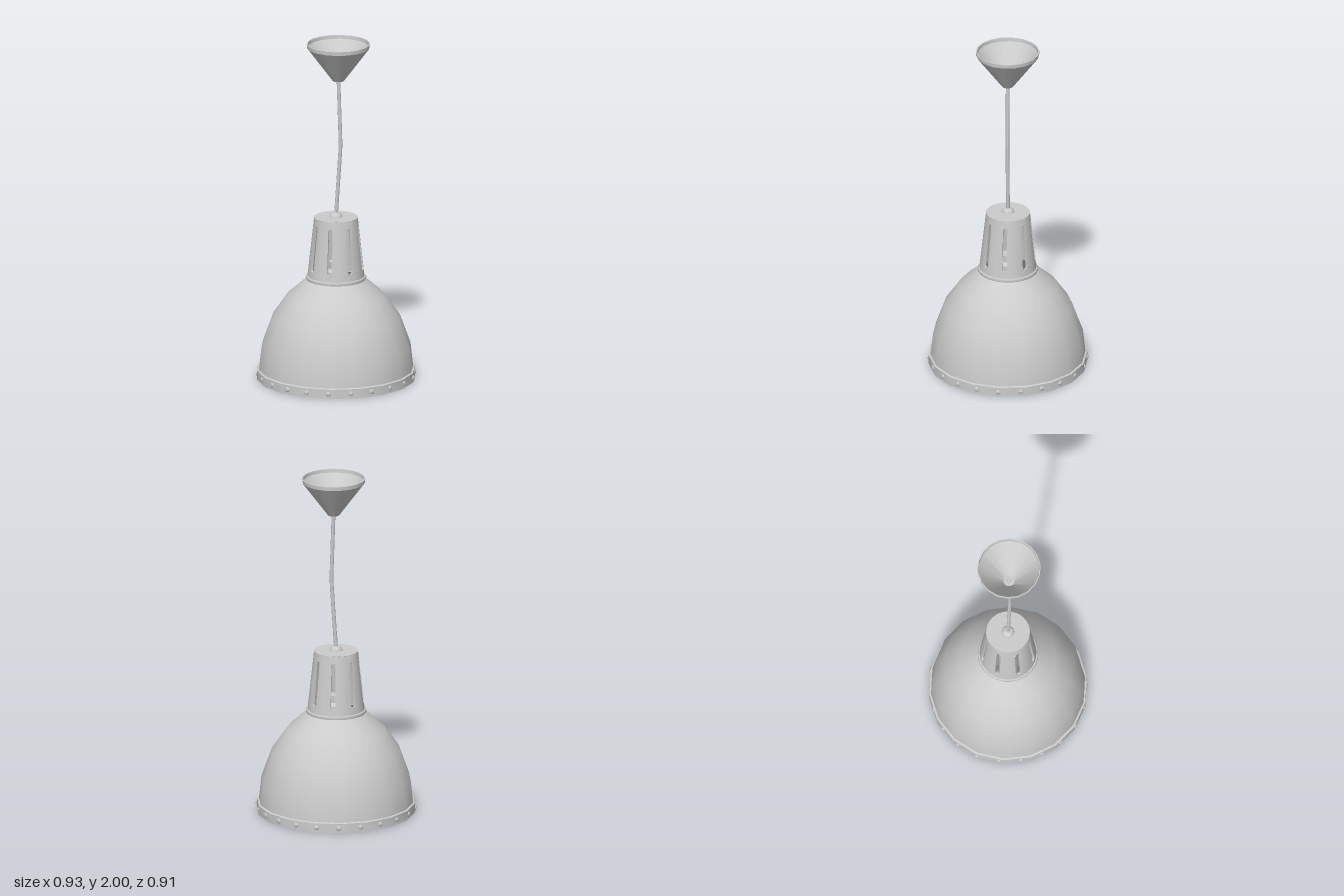
import * as THREE from 'three';
import { mergeGeometries, toCreasedNormals } from 'three/addons/utils/BufferGeometryUtils.js';

const SIDES = 18;
const material = new THREE.MeshStandardMaterial({ color: 0xcccccc, side: THREE.DoubleSide });

function part(name, geometry, parent) {
  const mesh = new THREE.Mesh(geometry, material);
  mesh.name = name;
  parent.add(mesh);
  return mesh;
}

// Turned part with a corner on +x; edges sharper than the crease angle stay sharp
function turned(profile, sides = SIDES, crease = 0.6) {
  const points = profile.map(([r, y]) => new THREE.Vector2(r, y));
  const lathe = new THREE.LatheGeometry(points, sides, Math.PI / 2);
  return toCreasedNormals(lathe.toNonIndexed(), crease);
}

// Tapered, slotted sleeve: flat strips in (angle, height) bent around the axis
function slottedSleeve() {
  const y0 = 0.6, y1 = 0.965, r0 = 0.166, r1 = 0.126, wall = 0.01;
  const strips = 24, half = Math.PI / strips;
  const pieces = [];
  for (let i = 0; i < strips; i++) {
    const shape = new THREE.Shape();
    shape.moveTo(-half, y0).lineTo(half, y0).lineTo(half, y1).lineTo(-half, y1).closePath();
    if (i % 3 === 0) {
      const slot = new THREE.Path();
      slot.absellipse(0, 0.91, 0.092, 0.014, 0, Math.PI, false);
      slot.absellipse(0, 0.67, 0.092, 0.014, Math.PI, 2 * Math.PI, false);
      slot.closePath();
      shape.holes.push(slot);
    }
    const geometry = new THREE.ExtrudeGeometry(shape, { depth: wall, bevelEnabled: false, curveSegments: 5 });
    const p = geometry.attributes.position;
    for (let k = 0; k < p.count; k++) {
      const angle = p.getX(k) + i * 2 * half, y = p.getY(k);
      const r = THREE.MathUtils.mapLinear(y, y0, y1, r0, r1) - wall + p.getZ(k);
      p.setXYZ(k, r * Math.sin(angle), y, r * Math.cos(angle));
    }
    pieces.push(geometry);
  }
  return toCreasedNormals(mergeGeometries(pieces), 0.6);
}

export function createModel() {
  const model = new THREE.Group();
  model.name = 'pendantLamp';

  // Shade and its lower band
  const lamp = new THREE.Group();
  lamp.name = 'lampHead';
  lamp.position.x = -0.002;
  model.add(lamp);
  part('shade', turned([
    [0.448, 0.03], [0.446, 0.06], [0.431, 0.2], [0.37, 0.37], [0.28, 0.5], [0.166, 0.6],
  ]), lamp);
  part('rimBand', turned([
    [0.437, 0.005], [0.456, 0.005], [0.456, 0.06], [0.445, 0.064], [0.437, 0.06], [0.437, 0.005],
  ], SIDES, 0.5), lamp);

  // Rivets sit on the flat facets of the band
  const rivets = new THREE.Group();
  rivets.name = 'rivets';
  lamp.add(rivets);
  const rivetShape = new THREE.SphereGeometry(0.015, 10, 4, 0, Math.PI * 2, 0, Math.PI / 2);
  rivetShape.rotateX(Math.PI / 2).scale(1, 1, 0.55);
  const facet = 2 * Math.PI / SIDES;
  for (let i = 0; i < 22; i++) {
    const a = i * 2 * Math.PI / 22;
    const middle = (Math.floor(a / facet) + 0.5) * facet;
    const r = 0.456 * Math.cos(facet / 2) / Math.cos(a - middle);
    const rivet = part('rivet', rivetShape, rivets);
    rivet.position.set(r * Math.cos(a), 0.033, r * Math.sin(a));
    rivet.rotation.y = Math.PI / 2 - middle;
  }

  // Ventilated neck with collar, cap and cable grommet
  part('neckSleeve', slottedSleeve(), lamp);
  part('neckCollar', turned([
    [0.16, 0.595], [0.172, 0.597], [0.175, 0.606], [0.172, 0.615], [0.16, 0.617],
  ], 24, 1), lamp);
  part('neckCap', turned([[0.12, 0.955], [0.126, 0.965], [0, 0.967]], 24, 0.5), lamp);
  part('cableGrommet', turned([
    [0.037, 0.965], [0.035, 0.978], [0.025, 0.987], [0.012, 0.991], [0, 0.991],
  ], 16, 1), lamp);

  // Bulb and socket
  const bulbProfile = [];
  for (let i = 0; i <= 10; i++) {
    const a = -Math.PI / 2 + i * 0.22;
    bulbProfile.push([0.113 * Math.cos(a), 0.135 + 0.113 * Math.sin(a)]);
  }
  bulbProfile.push([0.062, 0.29], [0.05, 0.36], [0.048, 0.42]);
  part('bulb', turned(bulbProfile, 24, 1), lamp);
  part('bulbSocket', turned([
    [0, 0.4], [0.055, 0.4], [0.055, 0.64], [0.04, 0.66], [0.04, 0.7], [0, 0.7],
  ], 16, 0.5), lamp);

  // Slightly bent cable
  const path = new THREE.CurvePath();
  const bends = [[-0.003, 0.96], [0.022, 1.34], [0.025, 1.4], [0.012, 1.8]]
    .map(([x, y]) => new THREE.Vector3(x, y, 0));
  for (let i = 0; i < 3; i++) path.add(new THREE.LineCurve3(bends[i], bends[i + 1]));
  part('cable', new THREE.TubeGeometry(path, 24, 0.011, 8), model);

  // Open ceiling cone
  const canopy = part('ceilingCone', turned([
    [0, 1.779], [0.033, 1.779], [0.181, 1.978], [0.183, 2], [0.177, 2],
    [0.175, 1.98], [0.033, 1.79], [0, 1.79],
  ], SIDES, 0.5), model);
  canopy.position.x = 0.012;

  return model;
}
